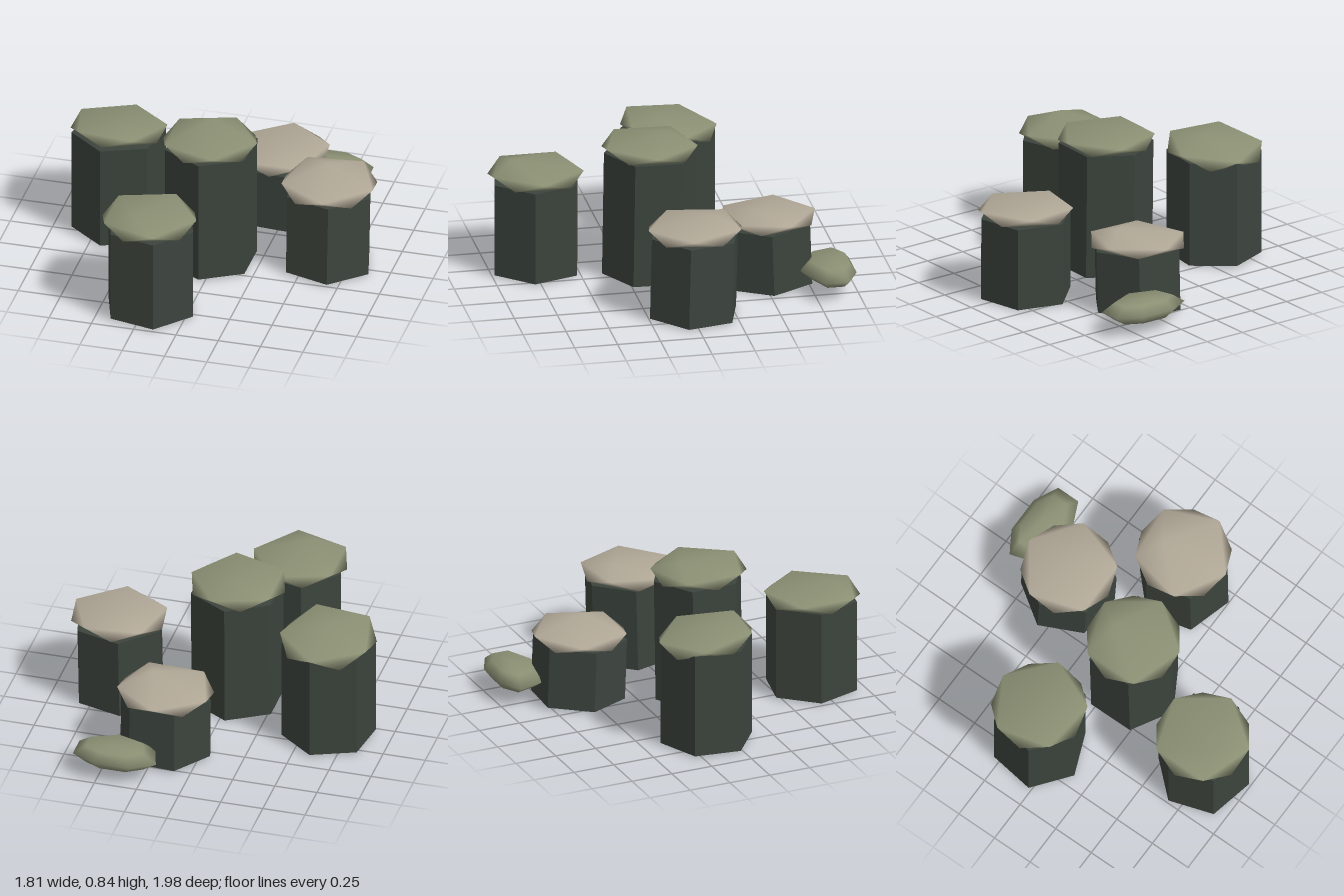
import * as THREE from 'three';

const DEG = Math.PI / 180;

function material(name, color) {
  const m = new THREE.MeshStandardMaterial({ color });
  m.name = name;
  return m;
}

// Closed smooth solid: a top point, rings from top to bottom, a bottom point
function closedLoft(top, rings, bottom) {
  const n = rings[0].length;
  const positions = [top, ...rings.flat(), bottom].flat();
  const last = rings.length * n + 1;
  const index = [];
  const at = (ring, i) => 1 + ring * n + (i % n);
  for (let i = 0; i < n; i++) {
    index.push(0, at(0, i + 1), at(0, i));
    for (let r = 0; r < rings.length - 1; r++) {
      index.push(at(r, i), at(r, i + 1), at(r + 1, i));
      index.push(at(r, i + 1), at(r + 1, i + 1), at(r + 1, i));
    }
    const r = rings.length - 1;
    index.push(last, at(r, i), at(r, i + 1));
  }
  const g = new THREE.BufferGeometry();
  g.setAttribute('position', new THREE.Float32BufferAttribute(positions, 3));
  g.setIndex(index);
  g.computeVertexNormals();
  return g;
}

// Slightly leaning six-sided stone column with one corner at the given angle
function makeColumn({ x, z, top, corner, lean }, mat) {
  const bottom = 0.014;
  const g = new THREE.CylinderGeometry(0.272, 0.272, top - bottom, 6).toNonIndexed();
  g.rotateY((90 - corner) * DEG);
  g.computeVertexNormals();
  const column = new THREE.Mesh(g, mat);
  column.name = 'stoneColumn';
  column.position.set(x, (top + bottom) / 2, z);
  column.rotation.set(lean[0], 0, lean[1]);
  return column;
}

// Flattened crust: two staggered five-point rings with an off-centre peak
function makeCap({ cap: [x, z], low, high, peak, phase, slope }, mat) {
  const ring = (y, offset) => Array.from({ length: 5 }, (_, i) => {
    const a = (phase + offset + i * 72) * DEG;
    const dx = 0.277 * Math.cos(a), dz = 0.277 * Math.sin(a);
    return [x + dx, y + slope[0] * dx + slope[1] * dz, z + dz];
  });
  const g = closedLoft(peak, [ring(high, 0), ring(low, 36)], [x, low - 0.035, z]);
  const cap = new THREE.Mesh(g, mat);
  cap.name = 'columnCap';
  return cap;
}

export function createModel() {
  const stone = material('dark stone', 0x3c443d);
  const moss = material('moss green', 0x8b9074);
  const lichen = material('pale lichen', 0xb0a796);

  const model = new THREE.Group();
  model.name = 'stoneColumns';

  const columns = [
    { name: 'tallColumn', x: -0.035, z: 0.105, top: 0.755, corner: 90, lean: [-0.015, 0],
      cap: [-0.04, 0.105], low: 0.76, high: 0.803, peak: [-0.06, 0.85, -0.02], phase: 0, slope: [0, 0.02], mat: moss },
    { name: 'rightColumn', x: -0.64, z: -0.12, top: 0.635, corner: 98, lean: [0, 0],
      cap: [-0.64, -0.125], low: 0.63, high: 0.68, peak: [-0.62, 0.705, -0.08], phase: 60, slope: [0, 0.12], mat: moss },
    { name: 'frontColumn', x: -0.222, z: 0.73, top: 0.568, corner: 12, lean: [0, 0],
      cap: [-0.23, 0.73], low: 0.57, high: 0.615, peak: [-0.28, 0.66, 0.86], phase: 0, slope: [0, 0], mat: moss },
    { name: 'leftColumn', x: 0.625, z: -0.02, top: 0.505, corner: 16, lean: [-0.02, -0.012],
      cap: [0.63, -0.025], low: 0.508, high: 0.553, peak: [0.6, 0.592, -0.14], phase: 12, slope: [0, -0.02], mat: lichen },
    { name: 'backColumn', x: 0.21, z: -0.53, top: 0.378, corner: 4, lean: [0.035, 0],
      cap: [0.21, -0.53], low: 0.38, high: 0.42, peak: [0.3, 0.47, -0.46], phase: 54, slope: [0.02, -0.01], mat: lichen },
  ];
  for (const c of columns) {
    const group = new THREE.Group();
    group.name = c.name;
    group.add(makeColumn(c, stone), makeCap(c, c.mat));
    model.add(group);
  }

  // Loose flat stone lying behind the columns
  const outline = [[0.16, -0.91], [0.29, -0.99], [0.51, -0.99], [0.65, -0.92],
    [0.65, -0.78], [0.43, -0.68], [0.21, -0.75]];
  const layer = (y, s) => outline.map(([x, z]) => [0.42 + (x - 0.42) * s, y, -0.87 + (z + 0.87) * s]);
  const pebble = new THREE.Mesh(
    closedLoft([0.42, 0.195, -0.87], [layer(0.185, 0.7), layer(0.132, 1), layer(0.08, 0.7)], [0.42, 0.075, -0.87]),
    moss);
  pebble.name = 'looseStone';
  model.add(pebble);

  return model;
}
